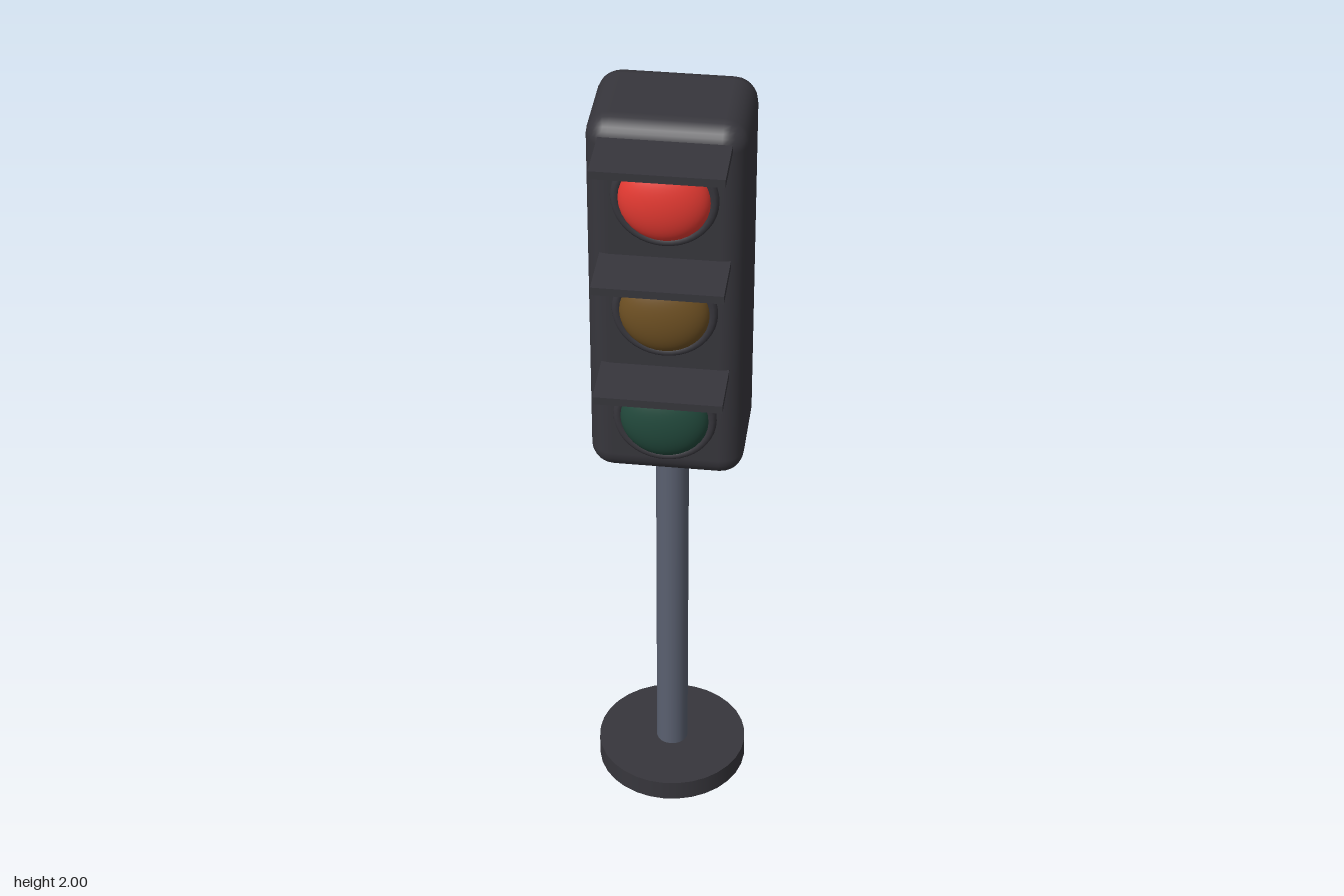
import * as THREE from 'three';
import { RoundedBoxGeometry } from 'three/addons/geometries/RoundedBoxGeometry.js';

const material = (name, color) => {
  const m = new THREE.MeshStandardMaterial({ color });
  m.name = name;
  return m;
};

export function createModel() {
  const group = new THREE.Group();
  group.name = 'trafficLight';
  const charcoal = material('charcoal', 0x37363c);
  const steel = material('steel grey', 0x5a6070);
  const lensColours = [
    material('lit red', 0xe53a32),
    material('unlit amber', 0x6e5023),
    material('unlit green', 0x22493c),
  ];

  const add = (name, geometry, mat, x, y, z) => {
    const mesh = new THREE.Mesh(geometry, mat);
    mesh.name = name;
    mesh.position.set(x, y, z);
    group.add(mesh);
    return mesh;
  };

  // Stand
  const axisZ = -0.047;
  add('base', new THREE.CylinderGeometry(0.193, 0.193, 0.056, 32), charcoal, 0, 0.028, axisZ);
  add('pole', new THREE.CylinderGeometry(0.041, 0.041, 1.04, 20), steel, 0, 0.56, axisZ);

  // Signal housing
  add('housing', new RoundedBoxGeometry(0.37, 0.967, 0.29, 3, 0.057), charcoal, 0, 1.5165, axisZ);

  // Lamps: domed lens, surrounding ring and flat visor
  const names = ['red', 'amber', 'green'];
  const dome = new THREE.SphereGeometry(0.107, 32, 12, 0, Math.PI * 2, 0, Math.PI / 2);
  dome.rotateX(Math.PI / 2).scale(1, 1, 0.51);
  const ring = new THREE.TorusGeometry(0.112, 0.012, 10, 40);
  const visor = new THREE.BoxGeometry(0.302, 0.02, 0.146);
  names.forEach((name, i) => {
    const y = 1.82 - i * 0.303;
    add(name + 'Lens', dome, lensColours[i], 0, y, 0.1);
    add(name + 'Ring', ring, charcoal, 0, y, 0.1);
    add(name + 'Visor', visor, charcoal, 0, y + 0.134, 0.167);
  });
  return group;
}
